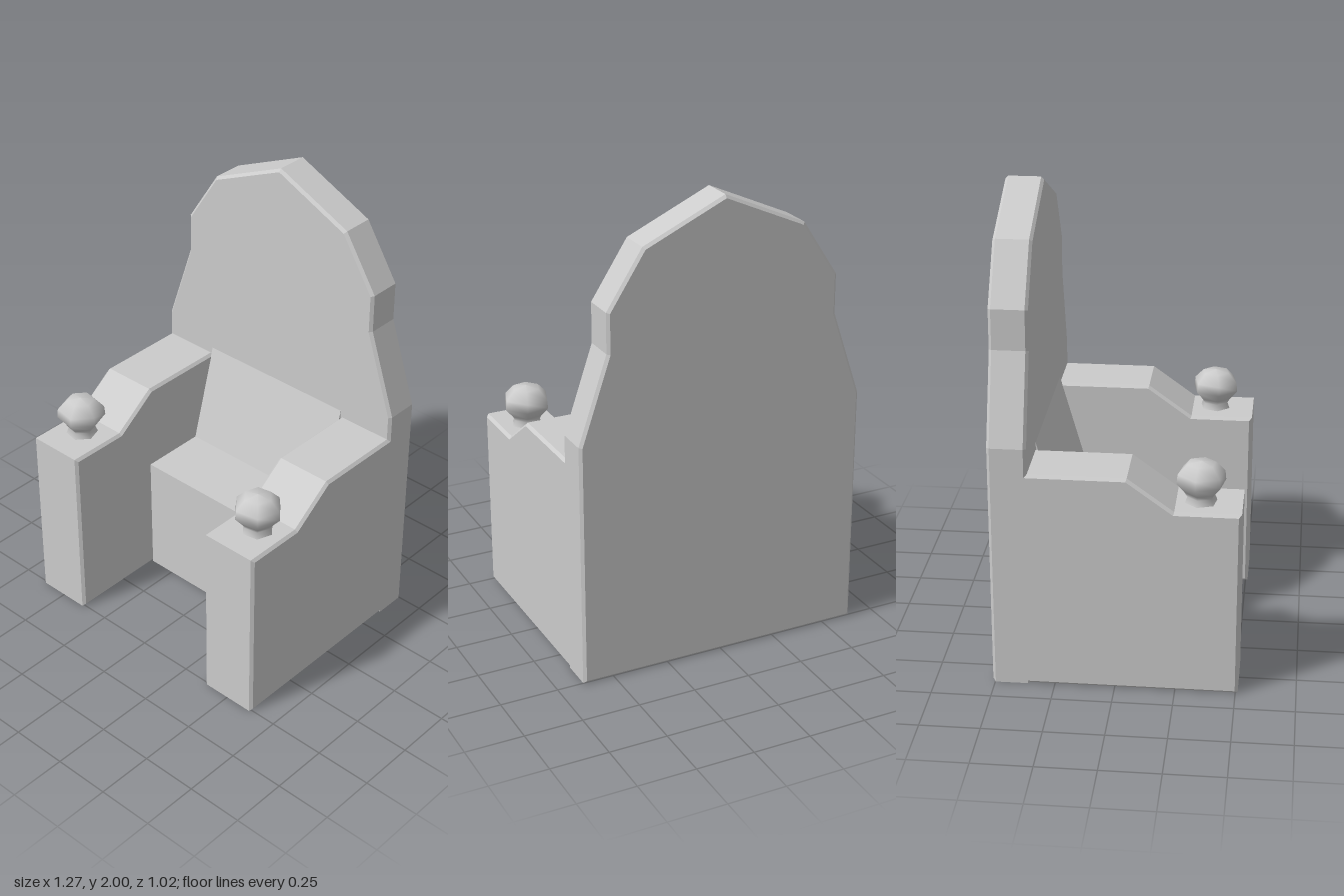
import * as THREE from 'three';

const material = new THREE.MeshStandardMaterial({ color: 0xcccccc });

function addMesh(parent, name, geometry) {
  const mesh = new THREE.Mesh(geometry, material);
  mesh.name = name;
  parent.add(mesh);
  return mesh;
}

// Extrude an outline to an exact depth, with a small chamfer inside its bounds
function slab(points, depth, bevel) {
  const shape = new THREE.Shape(points.map(([u, v]) => new THREE.Vector2(u, v)));
  const geometry = new THREE.ExtrudeGeometry(shape, {
    depth: depth - 2 * bevel,
    bevelEnabled: bevel > 0,
    bevelThickness: bevel,
    bevelSize: bevel,
    bevelOffset: -bevel,
    bevelSegments: 1,
  });
  return geometry.translate(0, 0, bevel);
}

// Side profile given as (z, y), extruded between two x positions
function sideProfile(points, xMin, xMax, bevel) {
  return slab(points, xMax - xMin, bevel).rotateY(-Math.PI / 2).translate(xMax, 0, 0);
}

export function createModel() {
  const throne = new THREE.Group();
  throne.name = 'throne';

  // Tall backrest with a faceted, pointed top
  const half = [[0.635, 0], [0.635, 1.06], [0.51, 1.43], [0.51, 1.6], [0.355, 1.84]];
  const mirrored = half.map(([x, y]) => [-x, y]).reverse();
  addMesh(throne, 'backrest', slab([...half, [0, 2], ...mirrored], 0.16, 0.012).translate(0, 0, -0.51));

  // Seat block, rising steeply into the backrest
  const seat = [[-0.4, 0], [0.065, 0], [0.065, 0.555], [-0.23, 0.555], [-0.35, 0.98], [-0.4, 0.98]];
  addMesh(throne, 'seat', sideProfile(seat, -0.372, 0.372, 0));

  // Stepped arms, each with a six-sided knob on its front post
  const arm = [[-0.4, 0], [0.51, 0], [0.51, 0.812], [0.24, 0.812], [0.05, 0.95], [-0.4, 0.95]];
  const knob = [[0.07, 0], [0.058, 0.03], [0.07, 0.05], [0.104, 0.09], [0.1, 0.13], [0.06, 0.172], [0, 0.182]]
    .map(([r, y]) => new THREE.Vector2(r, y));
  for (const side of [1, -1]) {
    const label = side > 0 ? 'left' : 'right';
    const [xMin, xMax] = side > 0 ? [0.37, 0.635] : [-0.635, -0.37];
    addMesh(throne, label + 'Arm', sideProfile(arm, xMin, xMax, 0.012));
    const finial = addMesh(throne, label + 'Knob', new THREE.LatheGeometry(knob, 6, -0.34 * side));
    finial.position.set(0.51 * side, 0.808, 0.34);
  }

  return throne;
}
